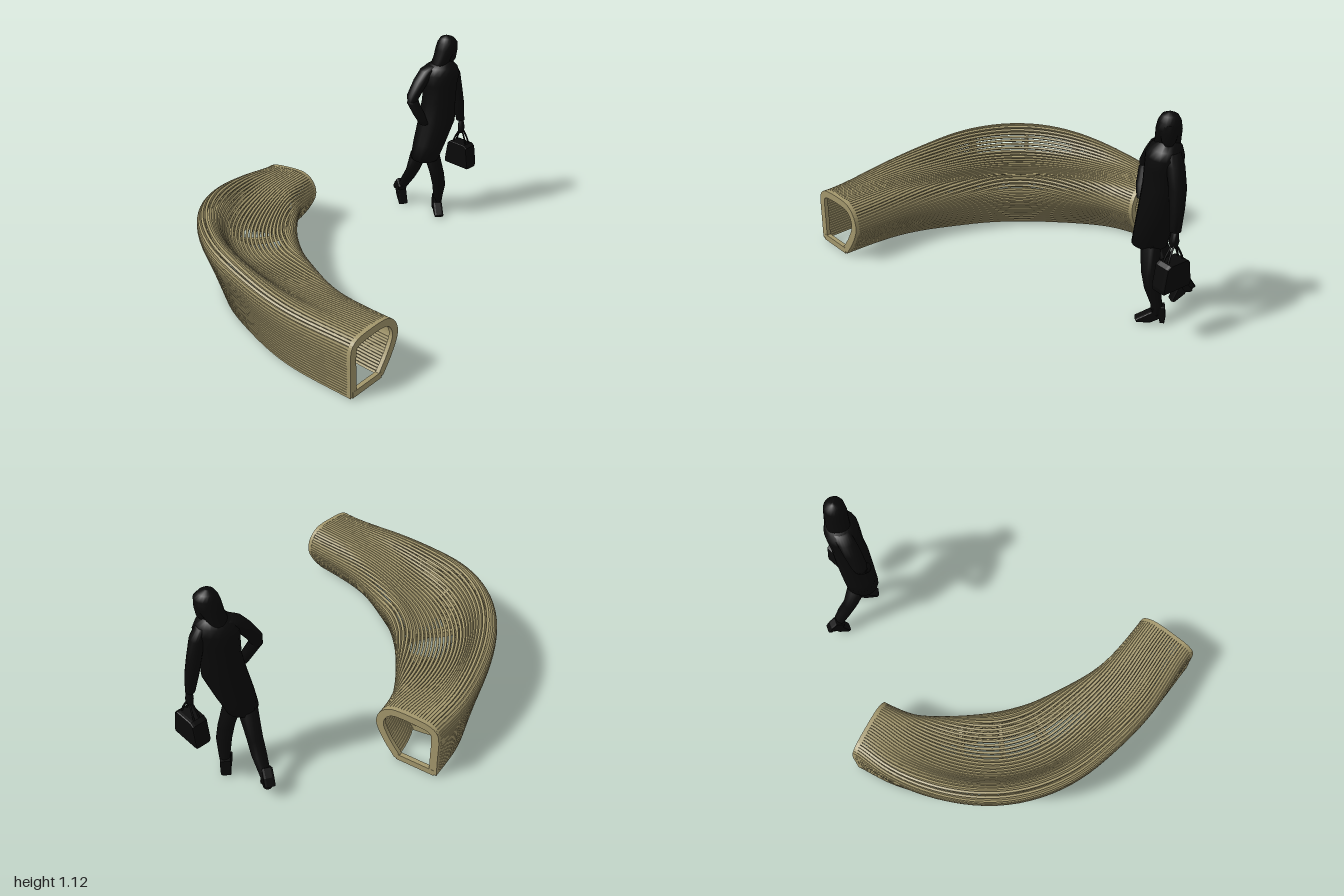
import * as THREE from 'three';

const V = (x, y, z) => new THREE.Vector3(x, y, z);

// Skin closed rings (counter-clockwise seen from the end of the path) with caps
function loft(rings, flat) {
  const n = rings[0].length, pos = [], idx = [];
  rings.forEach(r => r.forEach(p => pos.push(p.x, p.y, p.z)));
  for (let i = 0; i < rings.length - 1; i++) {
    for (let j = 0; j < n; j++) {
      const a = i * n + j, b = i * n + (j + 1) % n;
      idx.push(a, b, b + n, a, b + n, a + n);
    }
  }
  const e = (rings.length - 1) * n;
  for (let j = 1; j < n - 1; j++) idx.push(0, j + 1, j, e, e + j, e + j + 1);
  let g = new THREE.BufferGeometry();
  g.setAttribute('position', new THREE.Float32BufferAttribute(pos, 3));
  g.setIndex(idx);
  if (flat) g = g.toNonIndexed();
  g.computeVertexNormals();
  return g;
}

// Bench centreline on the floor, from the back end to the front end
const spine = new THREE.CatmullRomCurve3([
  [-0.295, -0.785], [-0.43, -0.59], [-0.52, -0.34], [-0.55, -0.1],
  [-0.515, 0.12], [-0.42, 0.33], [-0.255, 0.59], [0.03, 0.88],
].map(([x, z]) => V(x, 0, z)));

// Cross-sections: rounded tube at the ends, seat with backrest in the middle
const endProfile = [[-0.168, 0.01], [-0.168, 0.12], [-0.168, 0.24], [-0.157, 0.285], [-0.12, 0.31],
  [-0.08, 0.317], [-0.02, 0.32], [0.04, 0.32], [0.09, 0.313], [0.13, 0.29], [0.16, 0.245],
  [0.166, 0.19], [0.125, 0.1], [0.06, 0.01]];
const seatProfile = [[-0.15, 0.01], [-0.21, 0.2], [-0.262, 0.36], [-0.254, 0.405], [-0.215, 0.427],
  [-0.17, 0.4], [-0.1, 0.305], [-0.01, 0.268], [0.12, 0.272], [0.21, 0.293], [0.258, 0.255],
  [0.262, 0.19], [0.232, 0.1], [0.19, 0.01]];

// A station along the bench: at(s, across, out, along) gives a point on its section
function station(t) {
  const w = Math.pow(Math.sin(Math.PI * Math.pow(t, 0.8)), 2);
  const curve = new THREE.CatmullRomCurve3(endProfile.map(([u, y], i) =>
    V(u + (seatProfile[i][0] - u) * w, y + (seatProfile[i][1] - y) * w, 0)));
  const o = spine.getPointAt(t), T = spine.getTangentAt(t), C = V(T.z, 0, -T.x);
  const at = (s, across, out, along) => {
    const p = curve.getPointAt(s), d = curve.getTangentAt(s);
    const u = p.x + d.x * across - d.y * out;
    const y = Math.max(0.001, p.y + d.y * across + d.x * out);
    return o.clone().addScaledVector(C, u).addScaledVector(T, along).setY(y);
  };
  return { at };
}

function bar(a, b, width, height) {
  const g = new THREE.BoxGeometry(width, height, a.distanceTo(b));
  const m = new THREE.Object3D();
  m.position.copy(a).add(b).multiplyScalar(0.5);
  m.lookAt(b);
  m.updateMatrix();
  return g.applyMatrix4(m.matrix);
}

function buildBench(mat) {
  const bench = new THREE.Group();
  bench.name = 'bench';
  const add = (name, g) => {
    const m = new THREE.Mesh(g, mat);
    m.name = name;
    bench.add(m);
  };

  // Long bent slats
  const SLATS = 62, STEPS = 44, h = 0.0064;
  const stations = Array.from({ length: STEPS + 1 }, (_, i) => station(i / STEPS));
  for (let k = 0; k < SLATS; k++) {
    const s = k / (SLATS - 1);
    add('slat', loft(stations.map(({ at }) =>
      [at(s, -h, -0.015, 0), at(s, h, -0.015, 0), at(s, h, 0.004, 0), at(s, -h, 0.004, 0)]), true));
  }

  // Ribs under the slats with bars across the floor, and closed frames at both ends
  const ribs = [0, 0.125, 0.265, 0.395, 0.53, 0.7, 0.885, 1], last = ribs.length - 1;
  ribs.forEach((t, i) => {
    const end = i === 0 || i === last;
    const { at } = station(t);
    const shift = i === 0 ? 0.008 : i === last ? -0.008 : 0;
    const hi = end ? 0.005 : -0.012, lo = end ? -0.036 : -0.044, d = 0.011;
    const rings = [];
    for (let j = 0; j <= 48; j++) {
      const s = j / 48;
      rings.push([at(s, 0, lo, shift - d), at(s, 0, hi, shift - d),
        at(s, 0, hi, shift + d), at(s, 0, lo, shift + d)]);
    }
    add(end ? 'endFrame' : 'rib', loft(rings, true));
    const a = at(0, 0, -0.01, shift).setY(0.018), b = at(1, 0, -0.01, shift).setY(0.018);
    add('floorBar', bar(a, b, 0.024, 0.034));
  });
  return bench;
}

// Stack of level ellipses, bottom to top: [x, y, z, radiusX, radiusZ]
function stack(rows, sides = 18) {
  return loft(rows.map(([x, y, z, rx, rz]) => Array.from({ length: sides }, (_, i) => {
    const a = i / sides * Math.PI * 2;
    return V(x + Math.cos(a) * rx, y, z - Math.sin(a) * rz);
  })));
}

function buildWoman(mat) {
  const woman = new THREE.Group();
  woman.name = 'standingWoman';
  const add = (name, g) => {
    const m = new THREE.Mesh(g, mat);
    m.name = name;
    woman.add(m);
    return m;
  };

  add('coat', stack([[0.493, 0.385, -0.745, 0.081, 0.087], [0.52, 0.48, -0.755, 0.094, 0.09],
    [0.56, 0.62, -0.768, 0.107, 0.092], [0.57, 0.74, -0.775, 0.097, 0.087], [0.573, 0.84, -0.78, 0.1, 0.09],
    [0.577, 0.9, -0.782, 0.108, 0.09], [0.58, 0.94, -0.785, 0.09, 0.075], [0.59, 0.97, -0.79, 0.045, 0.045]]));
  add('neck', stack([[0.595, 0.94, -0.79, 0.035, 0.035], [0.61, 1, -0.79, 0.03, 0.03]]));
  add('face', stack([[0.635, 0.965, -0.79, 0.014, 0.018], [0.63, 0.985, -0.79, 0.03, 0.032],
    [0.627, 1.03, -0.79, 0.04, 0.042], [0.626, 1.08, -0.79, 0.04, 0.042]]));
  add('hair', stack([[0.535, 0.87, -0.79, 0.03, 0.05], [0.56, 0.93, -0.79, 0.046, 0.06],
    [0.583, 0.99, -0.79, 0.05, 0.06], [0.602, 1.04, -0.79, 0.06, 0.06], [0.61, 1.08, -0.79, 0.057, 0.053],
    [0.606, 1.105, -0.79, 0.038, 0.038], [0.603, 1.117, -0.79, 0.01, 0.01]]));

  // Right arm bent to the pocket, left arm hanging with the bag
  add('rightUpperArm', stack([[0.405, 0.745, -0.715, 0.026, 0.034], [0.415, 0.79, -0.72, 0.038, 0.042],
    [0.46, 0.87, -0.745, 0.044, 0.046], [0.495, 0.925, -0.765, 0.04, 0.046], [0.53, 0.95, -0.78, 0.03, 0.04]]));
  add('rightForearm', stack([[0.475, 0.62, -0.695, 0.025, 0.025], [0.445, 0.68, -0.697, 0.033, 0.031],
    [0.412, 0.745, -0.712, 0.035, 0.036], [0.41, 0.785, -0.72, 0.028, 0.03]]));
  add('leftArm', stack([[0.714, 0.575, -0.84, 0.024, 0.028], [0.698, 0.68, -0.842, 0.034, 0.036],
    [0.68, 0.78, -0.84, 0.036, 0.042], [0.66, 0.88, -0.825, 0.037, 0.044], [0.64, 0.935, -0.81, 0.028, 0.038]]));
  add('leftHand', stack([[0.72, 0.495, -0.838, 0.014, 0.018], [0.722, 0.525, -0.838, 0.02, 0.024],
    [0.718, 0.58, -0.84, 0.014, 0.017]], 12));

  // Legs in mid stride
  add('rightLeg', stack([[0.38, 0.055, -0.955, 0.024, 0.028], [0.39, 0.1, -0.93, 0.027, 0.03],
    [0.418, 0.19, -0.875, 0.038, 0.039], [0.437, 0.26, -0.83, 0.04, 0.04], [0.465, 0.4, -0.775, 0.05, 0.052]]));
  add('leftLeg', stack([[0.588, 0.04, -0.795, 0.024, 0.027], [0.59, 0.1, -0.79, 0.028, 0.029],
    [0.588, 0.19, -0.765, 0.039, 0.04], [0.572, 0.27, -0.75, 0.042, 0.043], [0.53, 0.42, -0.748, 0.047, 0.052]]));

  // Heeled boots, drawn from the side with the toe to the right
  const side = new THREE.Shape([[-0.03, 0], [-0.014, 0], [-0.008, 0.025], [0.035, 0.002], [0.1, 0],
    [0.105, 0.01], [0.08, 0.025], [0.03, 0.055], [0.024, 0.085], [-0.028, 0.085], [-0.034, 0.04]]
    .map(([x, y]) => new THREE.Vector2(x, y)));
  const boot = (name, x, y, z, pitch, turn) => {
    const g = new THREE.ExtrudeGeometry(side, { depth: 0.032, bevelSize: 0.004, bevelThickness: 0.01, bevelSegments: 2 });
    g.translate(0, 0.004, -0.016).rotateZ(-pitch).rotateY(-Math.PI / 2 + turn);
    add(name, g).position.set(x, y, z);
  };
  boot('leftBoot', 0.586, 0, -0.8, 0, 0);
  boot('rightBoot', 0.372, 0.06, -0.966, 0.66, 0.25);

  // Handbag
  const bag = new THREE.Group();
  bag.name = 'handbag';
  const body = new THREE.Shape([[-0.08, 0], [0.08, 0], [0.084, 0.02], [0.068, 0.125], [0.05, 0.138],
    [-0.05, 0.138], [-0.068, 0.125], [-0.084, 0.02]].map(([x, y]) => new THREE.Vector2(x, y)));
  const bodyMesh = new THREE.Mesh(new THREE.ExtrudeGeometry(body,
    { depth: 0.05, bevelSize: 0.004, bevelThickness: 0.016, bevelSegments: 2 }).translate(0, 0, -0.025), mat);
  bodyMesh.name = 'bagBody';
  bag.add(bodyMesh);
  for (const z of [-0.016, 0.016]) {
    const path = new THREE.CatmullRomCurve3([V(-0.05, 0.13, z), V(-0.03, 0.18, z * 0.7),
      V(0, 0.222, z * 0.3), V(0.03, 0.18, z * 0.7), V(0.05, 0.13, z)]);
    const handle = new THREE.Mesh(new THREE.TubeGeometry(path, 16, 0.005, 6), mat);
    handle.name = 'bagHandle';
    bag.add(handle);
  }
  bag.position.set(0.725, 0.288, -0.84);
  bag.rotation.y = -0.86;
  woman.add(bag);
  return woman;
}

export function createModel() {
  const wood = new THREE.MeshStandardMaterial({ color: 0xa3976c });
  wood.name = 'wood';
  const black = new THREE.MeshStandardMaterial({ color: 0x090909 });
  black.name = 'black';
  const model = new THREE.Group();
  model.name = 'slattedBenchScene';
  model.add(buildBench(wood), buildWoman(black));
  return model;
}
